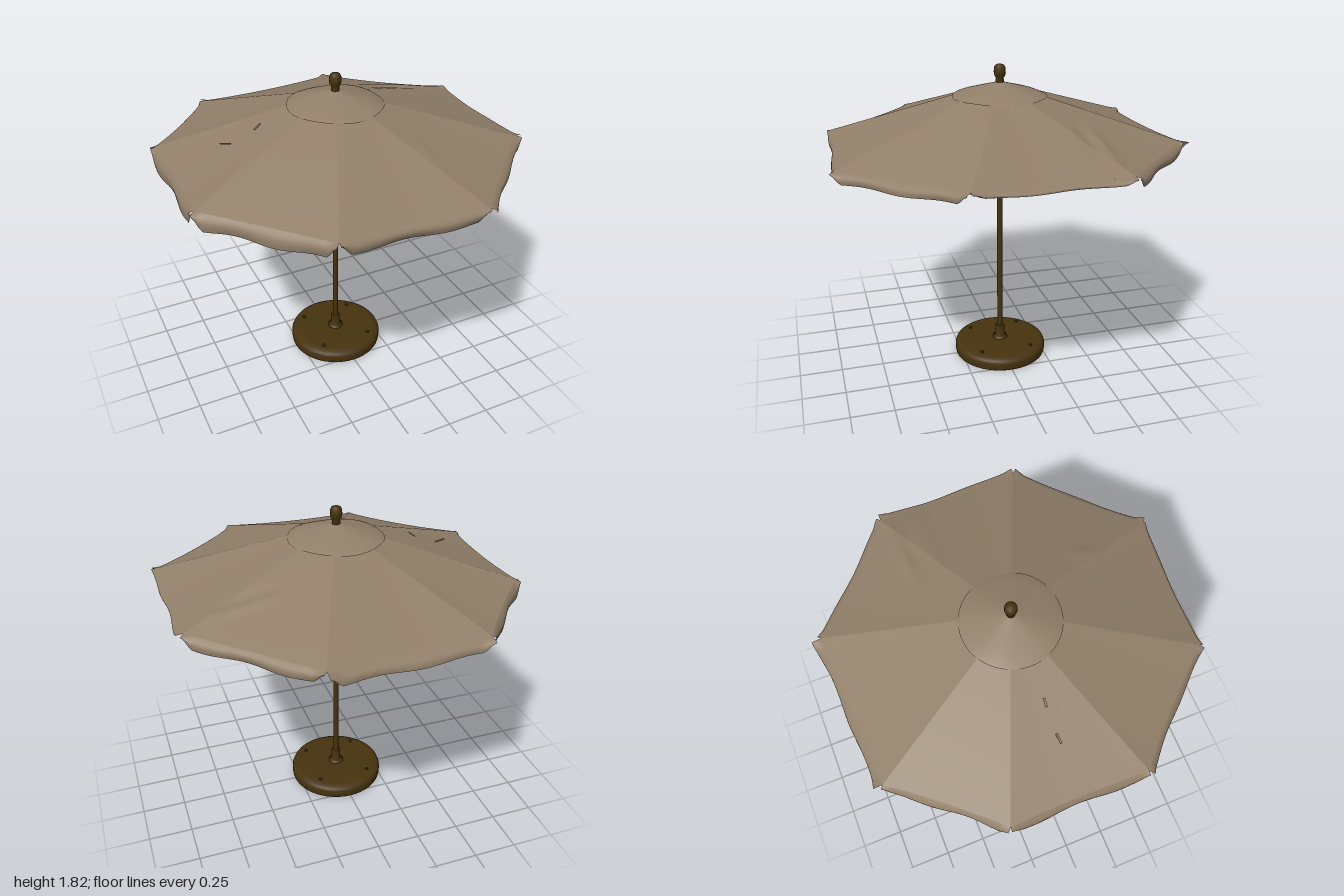
import * as THREE from 'three';

const V = (x, y, z) => new THREE.Vector3(x, y, z);

// Canopy corners, starting at the front-left one and going round towards the back
const CORNERS = [
  V(0.38, 1.395, 0.97), V(0.95, 1.42, 0.4), V(0.94, 1.42, -0.42), V(0.38, 1.40, -0.95),
  V(-0.5, 1.395, -0.9), V(-0.94, 1.40, -0.38), V(-0.94, 1.40, 0.38), V(-0.42, 1.395, 0.93),
];
// Valance of each panel: how far it hangs and how far it flares outwards
const VALANCES = [
  [0.065, 0.01], [0.055, 0.03], [0.025, 0.035], [0.06, 0.025],
  [0.06, 0.05], [0.08, 0.02], [0.095, 0.02], [0.085, 0.025],
];

// Smooth sheet from a rule point(u, v)
function sheet(point, nu, nv) {
  const pos = [], idx = [];
  for (let j = 0; j <= nv; j++) {
    for (let i = 0; i <= nu; i++) pos.push(...point(i / nu, j / nv).toArray());
  }
  for (let j = 0; j < nv; j++) {
    for (let i = 0; i < nu; i++) {
      const a = j * (nu + 1) + i, b = a + nu + 1;
      idx.push(a, b, a + 1, b, b + 1, a + 1);
    }
  }
  const g = new THREE.BufferGeometry();
  g.setAttribute('position', new THREE.Float32BufferAttribute(pos, 3));
  g.setIndex(idx);
  g.computeVertexNormals();
  return g;
}

function lathe(points, sides = 24) {
  return new THREE.LatheGeometry(points.map(([r, y]) => new THREE.Vector2(r, y)), sides);
}

// Round rod between two points
function rodGeometry(a, b, r) {
  const g = new THREE.CylinderGeometry(r, r, a.distanceTo(b), 8);
  const q = new THREE.Quaternion().setFromUnitVectors(V(0, 1, 0), b.clone().sub(a).normalize());
  g.applyQuaternion(q);
  const m = a.clone().add(b).multiplyScalar(0.5);
  return g.translate(m.x, m.y, m.z);
}

export function createModel() {
  const group = new THREE.Group();
  const fabric = new THREE.MeshStandardMaterial({ color: 0x917f69, side: THREE.DoubleSide });
  fabric.name = 'taupe fabric';
  const wood = new THREE.MeshStandardMaterial({ color: 0x46330f });
  wood.name = 'dark bronze';
  const metal = new THREE.MeshStandardMaterial({ color: 0x8a7965 });
  metal.name = 'taupe ribs';

  const add = (name, geometry, material, parent = group) => {
    const m = new THREE.Mesh(geometry, material);
    m.name = name;
    parent.add(m);
    return m;
  };

  // Weighted base with bolts and pole socket
  add('base', lathe([[0, 0], [0.28, 0], [0.28, 0.002], [0.283, 0.02], [0.283, 0.045],
    [0.277, 0.06], [0.262, 0.07], [0.235, 0.075], [0, 0.077]], 48), wood);
  add('baseSocket', lathe([[0.045, 0.075], [0.045, 0.086], [0.028, 0.092], [0.028, 0.163],
    [0.024, 0.167], [0, 0.167]]), wood);
  for (let i = 0; i < 4; i++) {
    const a = Math.PI / 4 + i * Math.PI / 2;
    add('baseBolt', new THREE.CylinderGeometry(0.01, 0.012, 0.012, 8), wood)
      .position.set(0.22 * Math.cos(a), 0.078, 0.22 * Math.sin(a));
  }

  // Pole, sliding runner, top hub and finial
  add('pole', rodGeometry(V(0, 0.1, 0), V(0, 1.73, 0), 0.017), wood);
  add('runner', lathe([[0.016, 1.25], [0.022, 1.26], [0.03, 1.31], [0.037, 1.34],
    [0.037, 1.38], [0.026, 1.395], [0.016, 1.395]]), wood);
  add('topHub', lathe([[0.016, 1.53], [0.026, 1.54], [0.028, 1.66], [0.038, 1.665],
    [0.038, 1.69], [0.016, 1.7]]), wood);
  add('finial', lathe([[0.02, 1.71], [0.024, 1.72], [0.022, 1.74], [0.03, 1.75], [0.034, 1.77],
    [0.033, 1.795], [0.026, 1.81], [0.012, 1.816], [0, 1.817]], 16), wood);

  // Canopy panels with their hanging valances
  const canopy = new THREE.Group();
  canopy.name = 'canopy';
  group.add(canopy);
  const ridge = (corner, t) => {
    const inner = corner.clone().multiplyScalar(0.2);
    inner.y = 1.655;
    return inner.lerp(corner, t);
  };
  const bump = (p, x, z, sx, sz) => Math.exp(-(((p.x - x) / sx) ** 2) - (((p.z - z) / sz) ** 2));

  CORNERS.forEach((right, k) => {
    const left = CORNERS[(k + 7) % 8];
    const out = V(Math.sin(k * Math.PI / 4), 0, Math.cos(k * Math.PI / 4));
    const [drop, flare] = VALANCES[k];
    const surface = (u, t) => {
      const p = ridge(left, t).lerp(ridge(right, t), u);
      const sag = 4 * u * (1 - u);
      p.addScaledVector(out, -0.012 * sag * t * t);
      p.y -= 0.008 * sag * t;
      // Soft creases in the cloth
      p.y += 0.012 * bump(p, 0.62, -0.38, 0.18, 0.03) - 0.01 * bump(p, 0.6, -0.31, 0.16, 0.04);
      p.y += 0.008 * bump(p, 0.27, 0.52, 0.04, 0.06);
      return p;
    };
    add('canopyPanel', sheet(surface, 20, 20), fabric, canopy);
    add('valance', sheet((u, v) => {
      const p = surface(u, 1);
      const notch = 0.2 + 0.8 * THREE.MathUtils.smoothstep(Math.min(u, 1 - u), 0, 0.08);
      const wave = Math.sin(u * 11 + k * 2);
      p.addScaledVector(out, 0.014 * Math.sin(Math.PI * v) + flare * v + 0.007 * v * wave);
      p.y -= drop * notch * v * (0.75 + 0.25 * v) * (1 + 0.07 * wave);
      return p;
    }, 40, 8), fabric, canopy);
  });

  // Round vent cap over the canopy opening
  add('ventCap', sheet((u, v) => {
    const a = u * Math.PI * 2, r = 0.015 + 0.255 * v;
    const facet = Math.cos(4 * a);
    return V(r * Math.sin(a), 1.717 - 0.073 * v - 0.004 * v * facet - 0.006 * v ** 8, r * Math.cos(a));
  }, 64, 10), fabric, canopy);

  // Small torn flaps on the right side
  for (const [x, y, len] of [[-0.46, 1.59, 0.05], [-0.64, 1.528, 0.06]]) {
    const flap = add('tornFlap', new THREE.BoxGeometry(len, 0.005, 0.012), fabric, canopy);
    flap.position.set(x, y, 0);
    flap.rotation.z = x < -0.5 ? -0.2 : 0.65;
  }

  // Ribs under the seams, with struts down to the runner
  const frame = new THREE.Group();
  frame.name = 'frame';
  group.add(frame);
  CORNERS.forEach((corner) => {
    const at = (r) => {
      const p = corner.clone().setY(0).normalize().multiplyScalar(r);
      return p;
    };
    const tip = corner.clone().multiplyScalar(0.965).setY(corner.y - 0.006);
    const hub = at(0.03).setY(1.675);
    const joint = hub.clone().lerp(tip, 0.42);
    joint.y -= 0.012;
    add('rib', rodGeometry(hub, tip, 0.01), metal, frame);
    add('strut', rodGeometry(at(0.03).setY(1.37), joint, 0.008), metal, frame);
    add('strutJoint', new THREE.SphereGeometry(0.018, 10, 8), metal, frame).position.copy(joint);
    add('ribTip', new THREE.SphereGeometry(0.016, 10, 8), metal, frame).position.copy(tip);
  });
  const ring = add('ventRing', new THREE.TorusGeometry(0.24, 0.007, 6, 40), metal, frame);
  ring.rotation.x = Math.PI / 2;
  ring.position.y = 1.612;

  return group;
}
